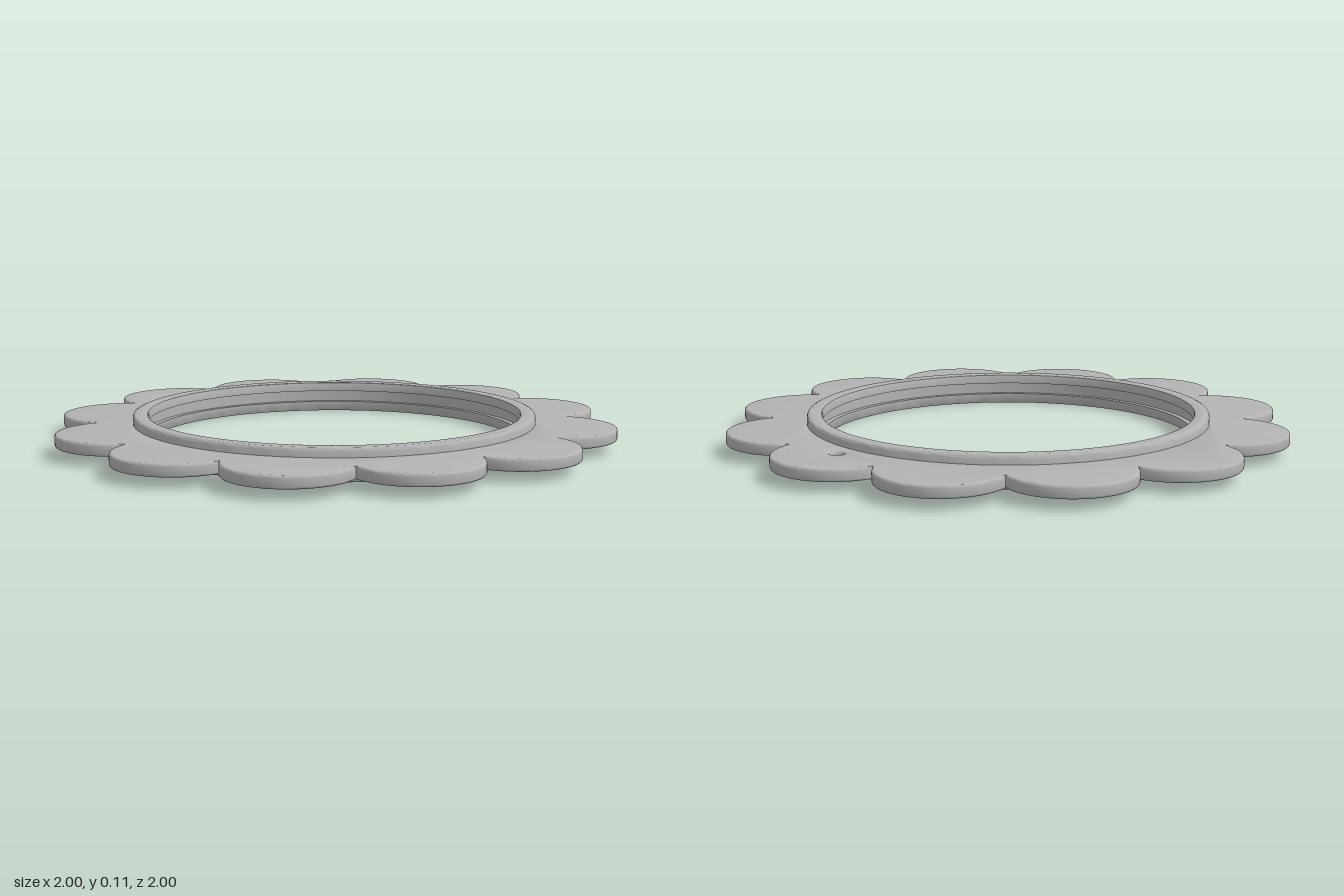
import * as THREE from 'three';
import { toCreasedNormals } from 'three/addons/utils/BufferGeometryUtils.js';

export function createModel() {
  const group = new THREE.Group();
  const grey = new THREE.MeshStandardMaterial({ color: 0xb3b3b3 });
  grey.name = 'grey';

  const add = (name, geometry, crease) => {
    const mesh = new THREE.Mesh(toCreasedNormals(geometry, crease), grey);
    mesh.name = name;
    group.add(mesh);
  };

  // Scalloped plate: twelve arcs meeting in cusps
  const petals = 12, centre = 0.78, radius = 0.22, steps = 28;
  const half = Math.PI / petals;
  // distance from the middle to a cusp, where neighbouring petals cross
  const cusp = centre * Math.cos(half) + Math.sqrt(radius ** 2 - (centre * Math.sin(half)) ** 2);
  const sweep = Math.atan2(cusp * Math.sin(half), cusp * Math.cos(half) - centre);
  const outline = [];
  for (let i = 0; i < petals; i++) {
    const a = i * 2 * half;
    for (let j = 0; j < steps; j++) {
      const t = a + sweep * (2 * j / steps - 1);
      outline.push(new THREE.Vector2(
        centre * Math.cos(a) + radius * Math.cos(t),
        centre * Math.sin(a) + radius * Math.sin(t)));
    }
  }
  const shape = new THREE.Shape(outline);
  // Central opening (hidden inside the ring) and the small hanging hole
  shape.holes.push(new THREE.Path().absarc(0, 0, 0.695, 0, Math.PI * 2, true));
  shape.holes.push(new THREE.Path().absarc(0, 0.78, 0.025, 0, Math.PI * 2, true));
  const bevel = 0.008;
  const plate = new THREE.ExtrudeGeometry(shape, {
    depth: 0.044 - 2 * bevel, bevelEnabled: true, bevelThickness: bevel,
    bevelSize: bevel, bevelOffset: -bevel, bevelSegments: 3, curveSegments: 48,
  });
  plate.rotateX(-Math.PI / 2).translate(0, 0.036 + bevel, 0);
  add('petalPlate', plate, 0.6);

  // Ring: rounded rims with a groove around the inner wall
  const profile = [
    [0.664, 0], [0.709, 0], [0.713, 0.002], [0.715, 0.006],
    [0.715, 0.102], [0.712, 0.109], [0.705, 0.112],
    [0.668, 0.112], [0.663, 0.11], [0.661, 0.105],
    [0.661, 0.078], [0.681, 0.078], [0.681, 0.036], [0.661, 0.036],
    [0.661, 0.004], [0.664, 0],
  ].map(([r, y]) => new THREE.Vector2(r, y));
  add('ring', new THREE.LatheGeometry(profile, 128), 0.8);

  return group;
}
